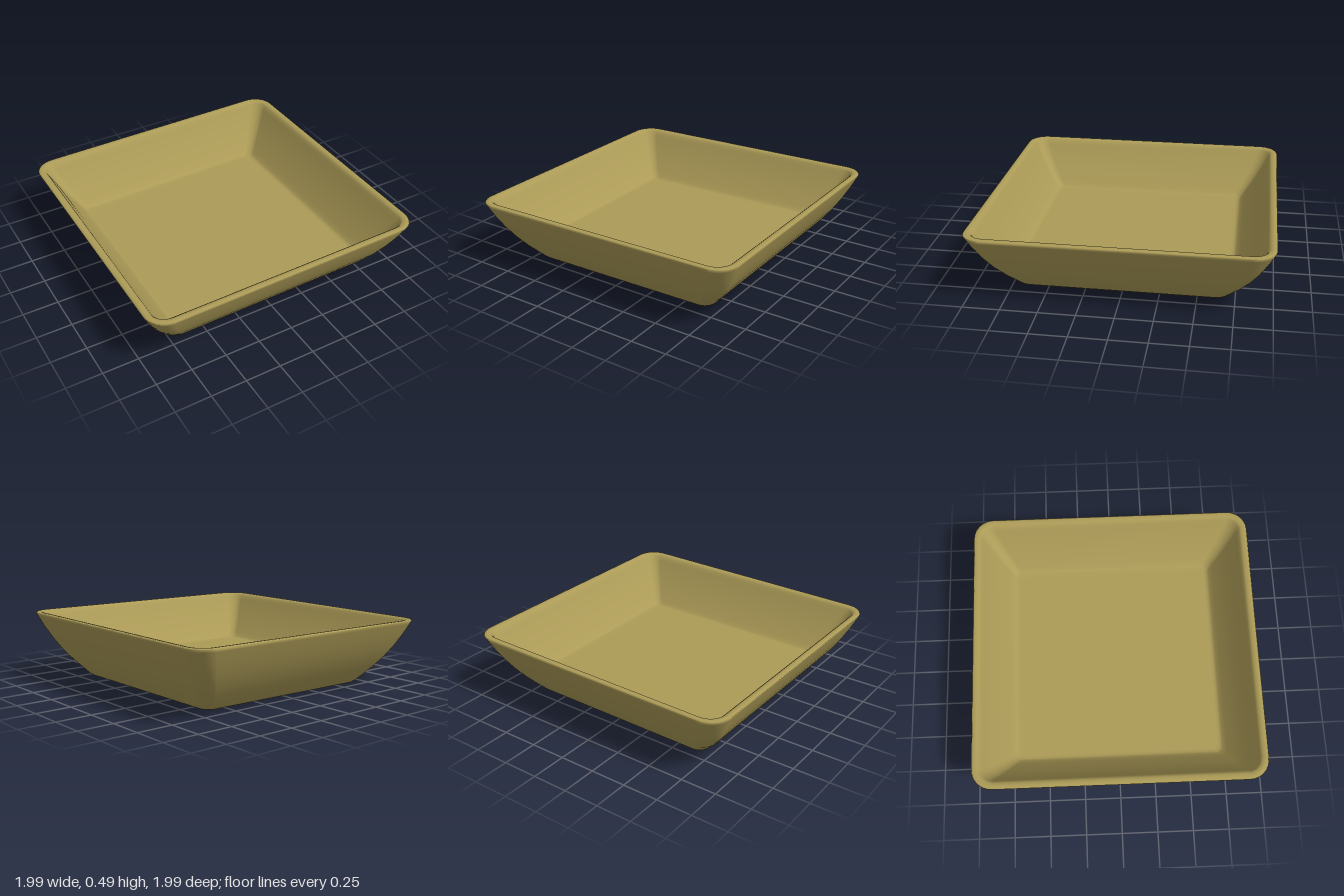
import * as THREE from 'three';

// Ring of points around a rounded square with half-width h and corner radius r
function roundedSquare(h, r, steps) {
  const ring = [];
  for (let corner = 0; corner < 4; corner++) {
    const mid = (corner + 0.5) * Math.PI / 2;
    const cx = Math.sign(Math.cos(mid)) * (h - r);
    const cz = Math.sign(Math.sin(mid)) * (h - r);
    for (let s = 0; s <= steps; s++) {
      const a = (corner + s / steps) * Math.PI / 2;
      ring.push([cx + r * Math.cos(a), cz + r * Math.sin(a)]);
    }
  }
  return ring;
}

// Closed skin through a stack of rounded squares, each [halfWidth, y, cornerRadius]
function loftSquares(profile, steps = 8) {
  const positions = [], indices = [];
  const n = 4 * (steps + 1);
  for (const [h, y, r] of profile) {
    for (const [x, z] of roundedSquare(h, r, steps)) {
      // the dish leans very slightly, as if handmade
      positions.push(x, y + 0.012 * (x + 0.66), z);
    }
  }
  for (let i = 0; i < profile.length - 1; i++) {
    for (let j = 0; j < n; j++) {
      const a = i * n + j, c = i * n + (j + 1) % n;
      indices.push(a, a + n, c, c, a + n, c + n);
    }
  }
  const geometry = new THREE.BufferGeometry();
  geometry.setAttribute('position', new THREE.Float32BufferAttribute(positions, 3));
  geometry.setIndex(indices);
  geometry.computeVertexNormals();
  return geometry;
}

export function createModel() {
  const clay = new THREE.MeshStandardMaterial({ color: 0xac9b57 });
  clay.name = 'ochre clay';

  const profile = [
    // recessed underside and foot ring
    [0, 0.045, 0], [0.58, 0.045, 0.04], [0.605, 0.044, 0.04], [0.615, 0.038, 0.04],
    [0.635, 0.01, 0.05], [0.65, 0.001, 0.06], [0.67, 0, 0.06], [0.69, 0.005, 0.07],
    [0.71, 0.02, 0.08],
    // curved outer wall
    [0.74, 0.052, 0.09], [0.8, 0.12, 0.1], [0.86, 0.2, 0.11], [0.91, 0.28, 0.12],
    [0.955, 0.365, 0.13], [0.99, 0.44, 0.14],
    // rounded rim
    [0.997, 0.457, 0.14], [0.99, 0.464, 0.135], [0.975, 0.466, 0.13],
    [0.955, 0.463, 0.11], [0.94, 0.45, 0.09],
    // inner wall
    [0.925, 0.42, 0.08], [0.88, 0.34, 0.07], [0.82, 0.25, 0.06], [0.76, 0.17, 0.05],
    [0.735, 0.142, 0.045], [0.72, 0.132, 0.04],
    // flat floor
    [0.7, 0.13, 0.035], [0.66, 0.13, 0.03], [0, 0.13, 0],
  ];

  const dish = new THREE.Mesh(loftSquares(profile), clay);
  dish.name = 'squareDish';

  const model = new THREE.Group();
  model.name = 'dish';
  model.add(dish);
  return model;
}
